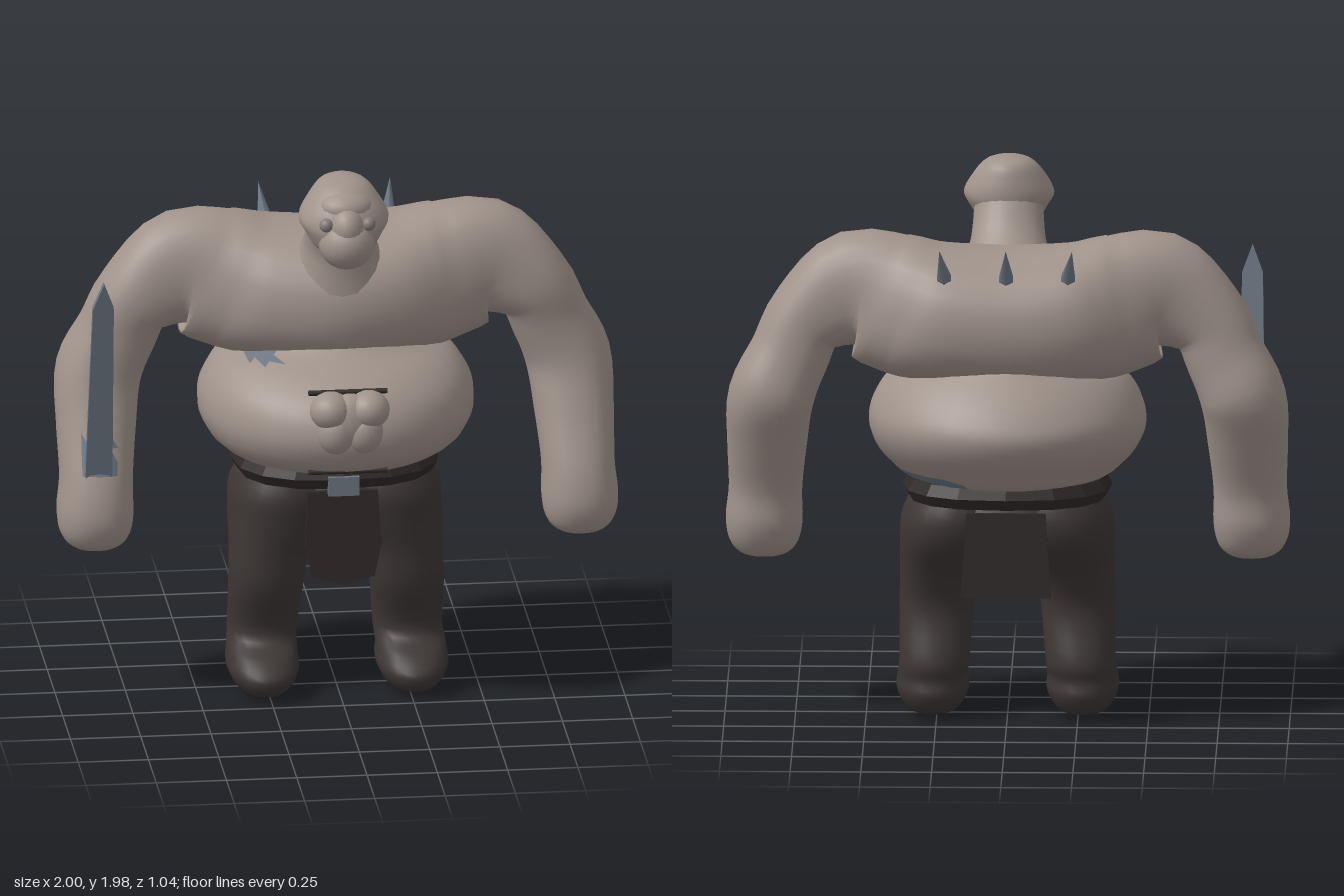
import * as THREE from 'three';
import { mergeVertices } from 'three/addons/utils/BufferGeometryUtils.js';

const mat = (name, color) => {
  const m = new THREE.MeshStandardMaterial({ color });
  m.name = name;
  return m;
};
const X = new THREE.Vector3(1, 0, 0), Z = new THREE.Vector3(0, 0, 1), UP = new THREE.Vector3(0, 1, 0);

// Skin elliptical rings along stations [x, y, z, radius across, radius along side].
// A fixed axis keeps the rings level; "square" below 1 makes sections boxier.
function loft(stations, side, { axis = null, sub = 4, n = 24, square = 1 } = {}) {
  const curve = (f) => new THREE.CatmullRomCurve3(stations.map(f), false, 'catmullrom', 0.5);
  const path = curve((s) => new THREE.Vector3(s[0], s[1], s[2]));
  const radii = curve((s) => new THREE.Vector3(s[3], s[4], 0));
  const rows = (stations.length - 1) * sub, pos = [], index = [];
  const pow = (v) => Math.sign(v) * Math.abs(v) ** square;
  for (let i = 0; i <= rows; i++) {
    const t = i / rows, c = path.getPoint(t), r = radii.getPoint(t);
    const across = side.clone().cross(axis || path.getTangent(t)).normalize();
    for (let j = 0; j < n; j++) {
      const a = (j / n) * Math.PI * 2;
      const p = c.clone()
        .addScaledVector(across, pow(Math.cos(a)) * Math.max(r.x, 0))
        .addScaledVector(side, pow(Math.sin(a)) * Math.max(r.y, 0));
      pos.push(p.x, p.y, p.z);
      if (i < rows) {
        const k = (j + 1) % n, a0 = i * n + j, b0 = i * n + k;
        index.push(a0, b0, a0 + n, b0, b0 + n, a0 + n);
      }
    }
  }
  let g = new THREE.BufferGeometry();
  g.setAttribute('position', new THREE.Float32BufferAttribute(pos, 3));
  g.setIndex(index);
  g = mergeVertices(g, 1e-5);
  g.computeVertexNormals();
  return g;
}

// Give the faces whose centre passes the test the second material
function paint(g, test) {
  const p = g.attributes.position, lists = [[], []], c = new THREE.Vector3(), v = new THREE.Vector3();
  for (let i = 0; i < g.index.count; i += 3) {
    const tri = [0, 1, 2].map((k) => g.index.getX(i + k));
    c.set(0, 0, 0);
    tri.forEach((k) => c.addScaledVector(v.fromBufferAttribute(p, k), 1 / 3));
    lists[test(c) ? 1 : 0].push(...tri);
  }
  g.setIndex([...lists[0], ...lists[1]]);
  g.addGroup(0, lists[0].length, 0);
  g.addGroup(lists[0].length, lists[1].length, 1);
  return g;
}

function plate(points, depth) {
  const g = new THREE.ExtrudeGeometry(
    new THREE.Shape(points.map(([x, y]) => new THREE.Vector2(x, y))), { depth, bevelEnabled: false });
  return g.translate(0, 0, -depth / 2);
}

export function createModel() {
  const model = new THREE.Group();
  const skin = mat('skin', 0xa0938b), cloth = mat('trouserCloth', 0x3d3635);
  const leather = mat('darkLeather', 0x2e2827), metal = mat('metal', 0x6b7680);
  const eyeGrey = mat('eyeGrey', 0x857c78);

  const add = (name, geo, material, x = 0, y = 0, z = 0) => {
    const m = new THREE.Mesh(geo, material);
    m.name = name;
    m.position.set(x, y, z);
    model.add(m);
    return m;
  };
  const blob = (name, material, x, y, z, rx, ry, rz) =>
    add(name, new THREE.SphereGeometry(1, 20, 14).scale(rx, ry, rz), material, x, y, z);

  // Chest, shoulders and arms as one mirrored sweep, with a metal patch behind the blade
  const half = [
    [0.25, 1.475, -0.1, 0.245, 0.29], [0.4, 1.51, -0.1, 0.245, 0.215],
    [0.55, 1.545, -0.085, 0.215, 0.152], [0.705, 1.45, -0.078, 0.148, 0.145],
    [0.77, 1.32, -0.095, 0.142, 0.142], [0.835, 1.17, -0.105, 0.152, 0.158],
    [0.85, 1.0, -0.045, 0.142, 0.15], [0.857, 0.82, 0.025, 0.13, 0.148],
    [0.862, 0.7, 0.04, 0.136, 0.155], [0.862, 0.62, 0.045, 0.122, 0.13],
    [0.862, 0.575, 0.045, 0.08, 0.085], [0.862, 0.558, 0.045, 0, 0],
  ];
  const mirrored = half.map(([x, ...rest]) => [-x, ...rest]).reverse();
  const body = loft([...mirrored, [0, 1.455, -0.085, 0.25, 0.322], ...half], Z, { n: 28, square: 0.9 });
  add('chestAndArms', paint(body, (c) =>
    c.x > -0.91 && c.x < -0.8 && c.y > 0.86 && c.y < 0.98 && c.z > 0.02), [skin, metal]);

  // Overhanging belly, with small metal patches under the back and at the front crease
  const belly = loft([
    [0, 0.86, -0.06, 0, 0], [0, 0.875, -0.05, 0.29, 0.31], [0, 0.94, -0.01, 0.42, 0.425],
    [0, 1.02, -0.015, 0.485, 0.48], [0, 1.1, -0.025, 0.498, 0.49], [0, 1.18, -0.025, 0.455, 0.465],
    [0, 1.25, -0.04, 0.375, 0.41], [0, 1.31, -0.07, 0.28, 0.31], [0, 1.4, -0.08, 0.2, 0.2],
  ], X, { axis: UP, n: 32 });
  add('belly', paint(belly, (c) =>
    (c.x > 0.1 && c.x < 0.38 && c.y > 0.875 && c.y < 0.92 && c.z < -0.17 && c.z > -0.36) ||
    (c.x > -0.34 && c.x < -0.23 && c.y > 1.27 && c.y < 1.31 && c.z > 0)), [skin, metal]);

  // Folded flesh and pins on the belly
  for (const s of [-1, 1]) {
    blob('bellyFoldUpper', skin, s * 0.068, 1.18, 0.445, 0.074, 0.068, 0.076);
    blob('bellyFoldLower', skin, s * 0.05, 1.1, 0.45, 0.068, 0.08, 0.066);
  }
  blob('bellyFoldMiddle', skin, 0, 1.14, 0.445, 0.1, 0.1, 0.062);
  for (const [y, z] of [[1.225, 0.38], [0.93, 0.385]])
    add('bellyPin', new THREE.CylinderGeometry(0.01, 0.01, 0.28, 8).rotateZ(Math.PI / 2), leather, 0, y, z);

  // Neck and head
  add('neck', loft([
    [0, 1.45, 0.02, 0.21, 0.23], [0, 1.6, 0.045, 0.18, 0.175], [0, 1.68, 0.095, 0.14, 0.137],
    [0, 1.76, 0.155, 0.12, 0.125], [0, 1.86, 0.21, 0.11, 0.12],
  ], X, { axis: UP }), skin);
  add('skull', loft([
    [0, 1.7, 0.27, 0, 0], [0, 1.73, 0.26, 0.1, 0.095], [0, 1.79, 0.25, 0.15, 0.138],
    [0, 1.84, 0.24, 0.155, 0.16], [0, 1.9, 0.23, 0.14, 0.132], [0, 1.96, 0.21, 0.095, 0.08],
    [0, 1.98, 0.2, 0, 0],
  ], X, { axis: UP }), skin);
  blob('snout', skin, 0, 1.77, 0.335, 0.1, 0.095, 0.105);
  blob('noseBridge', skin, 0, 1.83, 0.345, 0.065, 0.08, 0.082);
  blob('brow', skin, 0, 1.892, 0.295, 0.1, 0.06, 0.085);
  for (const s of [-1, 1]) blob('eye', eyeGrey, s * 0.075, 1.848, 0.37, 0.025, 0.025, 0.025);

  // Trouser legs ending in rounded feet
  for (const s of [-1, 1]) {
    add('trouserLeg', loft([
      [0.265, 0.005, 0.03, 0, 0], [0.265, 0.025, 0.03, 0.16, 0.085], [0.265, 0.09, 0.025, 0.213, 0.127],
      [0.265, 0.15, 0, 0.18, 0.125], [0.258, 0.22, -0.055, 0.135, 0.124], [0.25, 0.4, 0, 0.145, 0.133],
      [0.235, 0.54, -0.02, 0.18, 0.145], [0.2, 0.66, -0.055, 0.235, 0.18], [0.185, 0.76, -0.06, 0.25, 0.185],
      [0.165, 0.87, -0.06, 0.21, 0.14],
    ].map(([x, ...rest]) => [s * x, ...rest]), X, { axis: UP, square: 0.9 }), cloth);
  }
  blob('trouserSeat', cloth, 0, 0.75, -0.07, 0.28, 0.15, 0.25);

  // Belt with buckle
  const belt = loft([
    [0, 0.81, -0.06, 0, 0], [0, 0.81, -0.06, 0.29, 0.35], [0, 0.85, -0.06, 0.314, 0.372],
    [0, 0.89, -0.06, 0.295, 0.35], [0, 0.89, -0.06, 0, 0],
  ], X, { axis: UP, sub: 1, n: 16, square: 0.8 }).toNonIndexed();
  belt.computeVertexNormals();
  add('belt', belt, leather);
  add('buckle', new THREE.BoxGeometry(0.11, 0.07, 0.03), metal, 0, 0.828, 0.245);

  // Hanging leather flaps
  const front = add('frontFlap', plate([
    [-0.125, 0], [-0.135, -0.2], [-0.11, -0.31], [0, -0.34], [0.11, -0.31], [0.135, -0.2], [0.125, 0],
  ], 0.028), leather, 0, 0.795, 0.205);
  front.rotation.x = -0.1;
  const back = add('backFlap', plate([
    [-0.14, 0], [-0.16, -0.3], [0.16, -0.3], [0.14, 0],
  ], 0.028), leather, 0, 0.795, -0.325);
  back.rotation.x = 0.13;

  // Back spikes
  for (const x of [-0.226, 0, 0.226]) {
    const spike = add('backSpike', new THREE.ConeGeometry(0.032, 0.15, 6), metal, x, 1.693, -0.347);
    spike.rotation.set(-0.55, 0, -x * 0.5);
  }

  // Sword blade rising from the right hand
  const blade = add('swordBlade', plate([
    [-0.048, 0], [0.048, 0], [0.037, 0.7], [0, 0.8], [-0.037, 0.7],
  ], 0.022), metal, -0.86, 0.855, 0.14);
  blade.rotation.x = 0.21;

  return model;
}
